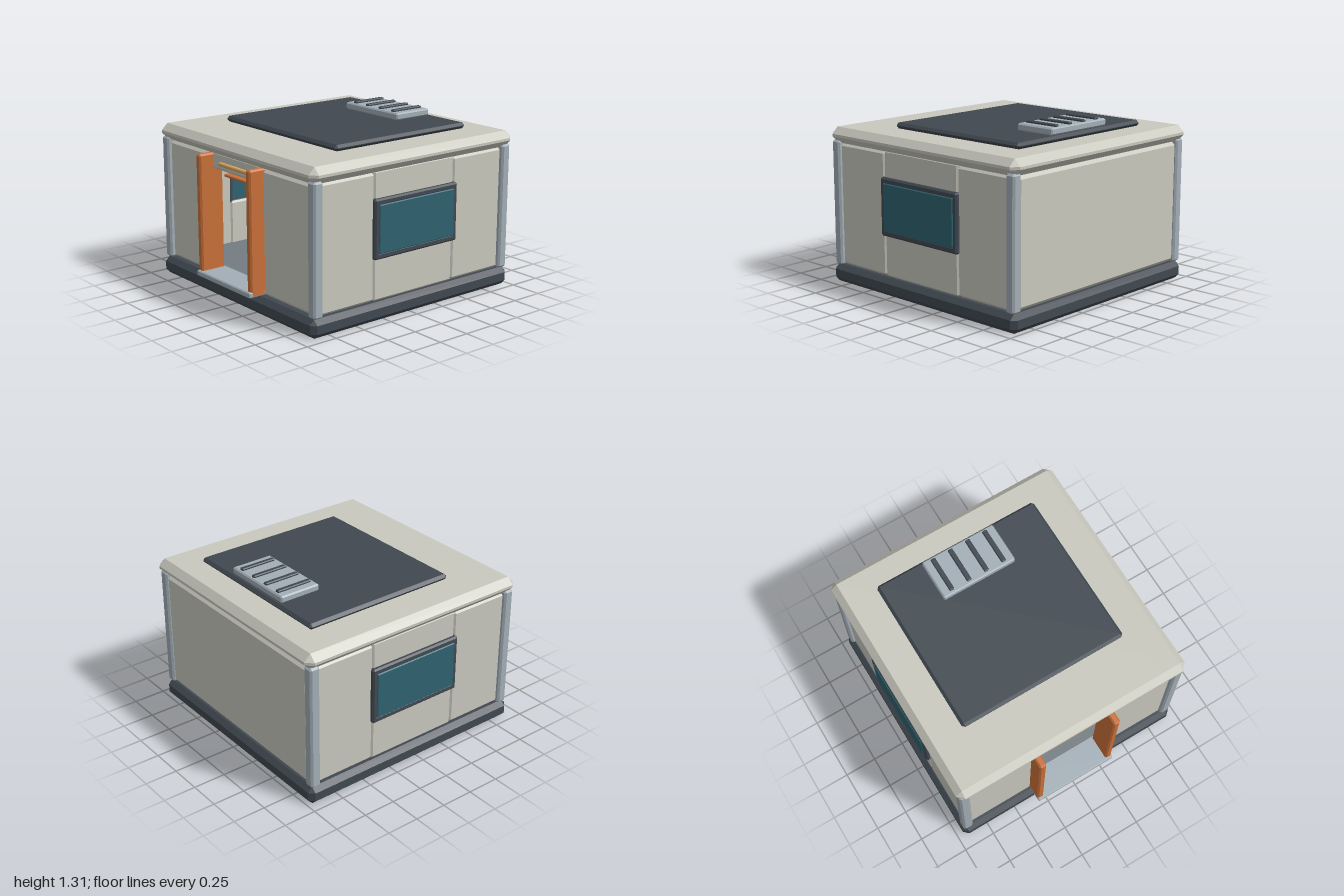
import * as THREE from 'three';
import { ConvexGeometry } from 'three/addons/geometries/ConvexGeometry.js';

const mat = (color) => new THREE.MeshStandardMaterial({ color, flatShading: true });

// Box with every edge and corner cut by c
function chamferBox(w, h, d, c) {
  const pts = [];
  for (const sx of [-1, 1]) for (const sy of [-1, 1]) for (const sz of [-1, 1]) {
    const x = w / 2, y = h / 2, z = d / 2;
    pts.push(
      new THREE.Vector3(sx * x, sy * (y - c), sz * (z - c)),
      new THREE.Vector3(sx * (x - c), sy * y, sz * (z - c)),
      new THREE.Vector3(sx * (x - c), sy * (y - c), sz * z));
  }
  return new ConvexGeometry(pts);
}

export function createModel() {
  const model = new THREE.Group();
  model.name = 'shelter';
  const shell = mat(0xc8c8be), dark = mat(0x404850), steel = mat(0xa2aeb6);
  const orange = mat(0xc87038), glass = mat(0x2f6270), amber = mat(0xd8a860), flooring = mat(0x747c82);

  // Adds a chamfered block from its [min, max] extents
  const block = (name, material, [x0, x1], [y0, y1], [z0, z1], c = 0.01) => {
    const mesh = new THREE.Mesh(chamferBox(x1 - x0, y1 - y0, z1 - z0, c), material);
    mesh.position.set((x0 + x1) / 2, (y0 + y1) / 2, (z0 + z1) / 2);
    mesh.name = name;
    model.add(mesh);
  };
  const side = (s, a, b) => (s > 0 ? [a, b] : [-b, -a]);

  // Base, floor and roof
  block('base', dark, [-0.95, 0.95], [0, 0.138], [-0.99, 0.91], 0.037);
  block('floor', flooring, [-0.87, 0.87], [0.12, 0.16], [-0.91, 0.81], 0.005);
  block('roof', shell, [-0.955, 0.955], [1.08, 1.2], [-1, 0.91], 0.05);
  block('roofPanel', dark, [-0.67, 0.67], [1.2, 1.245], [-0.77, 0.48], 0.02);

  // Roof vent with four slats
  block('vent', steel, [-0.3, 0.3], [1.245, 1.298], [-0.74, -0.41], 0.01);
  for (const x of [-0.218, -0.073, 0.073, 0.218])
    block('ventSlat', dark, [x - 0.019, x + 0.019], [1.29, 1.313], [-0.72, -0.435], 0.006);

  // Back wall
  const wallY = [0.142, 1.08];
  block('backWall', shell, [-0.88, 0.88], wallY, [-0.96, -0.88], 0.028);

  for (const s of [-1, 1]) {
    // Front wall halves and corner posts
    block('frontWall', shell, side(s, 0.29, 0.88), wallY, [0.78, 0.86], 0.028);
    for (const z of [[0.81, 0.89], [-0.975, -0.895]])
      block('cornerPost', steel, side(s, 0.86, 0.94), [0.14, 1.1], z, 0.014);

    // Side wall panels around the window
    const wallX = side(s, 0.83, 0.91);
    block('sideWallFront', shell, wallX, wallY, [0.33, 0.83], 0.02);
    block('sideWallRear', shell, wallX, wallY, [-0.91, -0.41], 0.02);
    block('sideWallLower', shell, wallX, [0.142, 0.5], [-0.42, 0.34], 0.014);
    block('sideWallUpper', shell, wallX, [0.85, 1.09], [-0.42, 0.34], 0.014);

    // Window
    for (const y of [[0.455, 0.505], [0.845, 0.893]])
      block('windowRail', dark, side(s, 0.84, 0.94), y, [-0.435, 0.352], 0.012);
    for (const z of [[-0.435, -0.39], [0.307, 0.352]])
      block('windowStile', dark, side(s, 0.84, 0.94), [0.455, 0.893], z, 0.012);
    block('windowGlass', glass, side(s, 0.88, 0.947), [0.497, 0.853], [-0.4, 0.317], 0.006);

    // Door jamb
    block('doorJamb', orange, side(s, 0.282, 0.337), [0.15, 1.08], [0.78, 0.98], 0.012);
  }

  // Doorway
  block('doorHeader', shell, [-0.3, 0.3], [0.96, 1.09], [0.78, 0.86], 0.014);
  block('doorLintel', orange, [-0.3, 0.3], [0.88, 0.9], [0.7, 0.76], 0.005);
  block('doorLight', amber, [-0.193, 0.193], [1, 1.027], [0.85, 0.885], 0.007);
  block('threshold', steel, [-0.337, 0.337], [0.152, 0.195], [0.77, 0.998], 0.008);

  return model;
}
